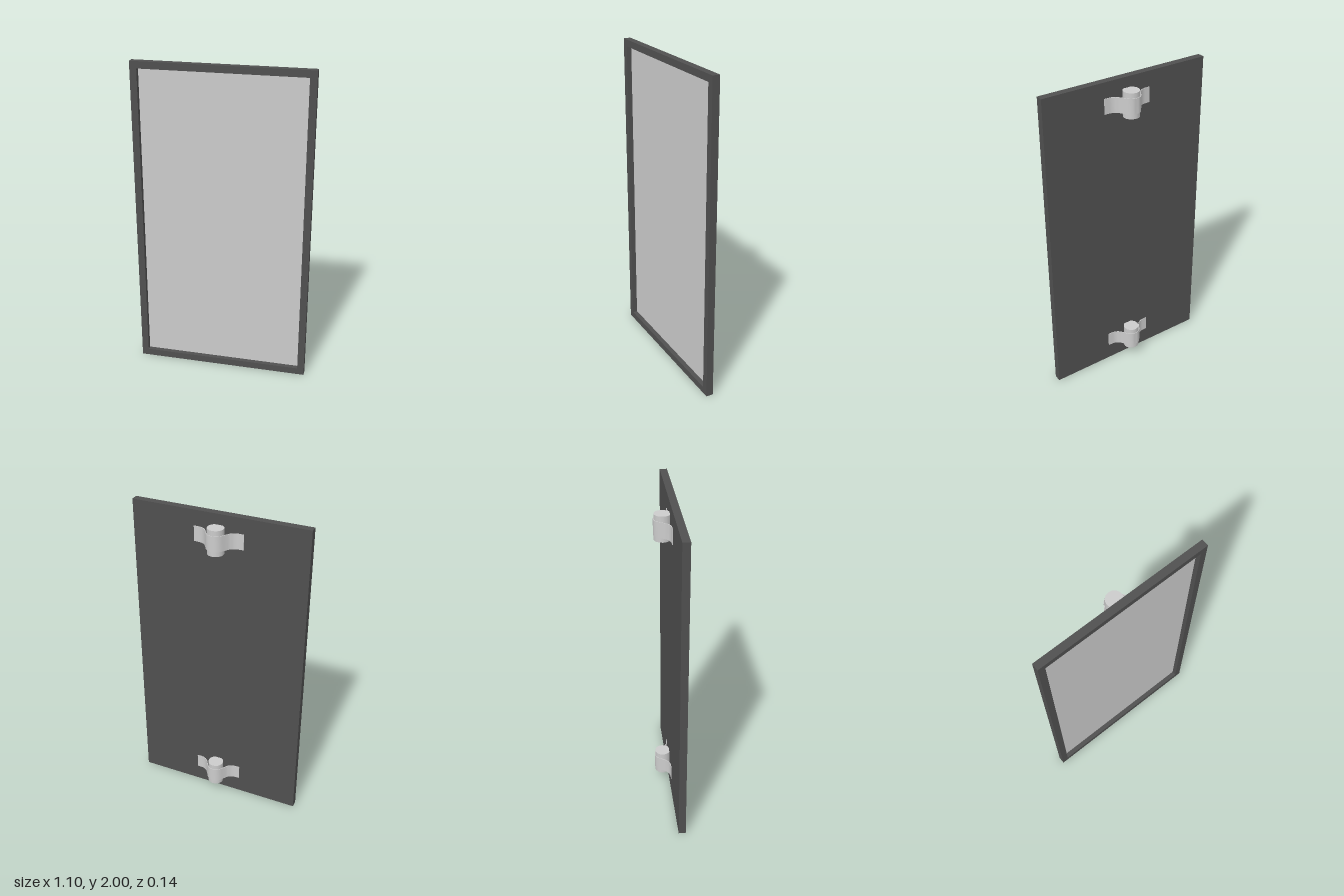
import * as THREE from 'three';
import { toCreasedNormals } from 'three/addons/utils/BufferGeometryUtils.js';

const W = 1.1, H = 2, BORDER = 0.043;
const BACK = 0.025, FRONT = 0.07, RECESS = 0.03;

const dark = new THREE.MeshStandardMaterial({ color: 0x505050 });
const grey = new THREE.MeshStandardMaterial({ color: 0xcccccc });

function part(name, geometry, material) {
  const mesh = new THREE.Mesh(geometry, material);
  mesh.name = name;
  return mesh;
}

function rectangle(target, w, h) {
  target.moveTo(-w / 2, -h / 2);
  target.lineTo(w / 2, -h / 2);
  target.lineTo(w / 2, h / 2);
  target.lineTo(-w / 2, h / 2);
  target.closePath();
  return target;
}

// Thin strap bent over the pin, with flat feet against the back board
function strapGeometry(height) {
  const half = [[0.155, 0.022], [0.13, 0.021], [0.108, 0.018], [0.083, 0.004],
    [0.062, -0.024], [0.045, -0.051], [0.024, -0.067]];
  const points = [
    ...half.map(([x, z]) => new THREE.Vector2(-x, z)),
    new THREE.Vector2(0, -0.071),
    ...half.map(([x, z]) => new THREE.Vector2(x, z)).reverse(),
  ];
  const curve = new THREE.SplineCurve(points);
  const outer = [], inner = [];
  for (let i = 0; i <= 36; i++) {
    const p = curve.getPoint(i / 36), t = curve.getTangent(i / 36);
    outer.push(p);
    inner.push(new THREE.Vector2(p.x - t.y * 0.004, p.y + t.x * 0.004));
  }
  const geometry = new THREE.ExtrudeGeometry(new THREE.Shape([...outer, ...inner.reverse()]),
    { depth: height, bevelEnabled: false });
  geometry.rotateX(Math.PI / 2).translate(0, height / 2, 0);
  return toCreasedNormals(geometry, 0.6);
}

// Pin held by a strap
function createHinge(name, y) {
  const hinge = new THREE.Group();
  hinge.name = name;
  const pin = part('hingePin', new THREE.CylinderGeometry(0.05, 0.05, 0.157, 16), grey);
  pin.position.z = -0.018;
  hinge.add(pin, part('hingeStrap', strapGeometry(0.095), grey));
  hinge.position.y = y;
  return hinge;
}

export function createModel() {
  const model = new THREE.Group();
  model.name = 'framedPanel';

  // Border frame with a rectangular opening
  const outline = rectangle(new THREE.Shape(), W, H);
  outline.holes.push(rectangle(new THREE.Path(), W - 2 * BORDER, H - 2 * BORDER));
  const frame = part('frame', new THREE.ExtrudeGeometry(outline,
    { depth: FRONT - BACK, bevelEnabled: false }), dark);
  frame.position.set(0, H / 2, BACK);

  // Back board closing the frame
  const board = part('backBoard',
    new THREE.BoxGeometry(W - 2 * BORDER, H - 2 * BORDER, 0.01), dark);
  board.position.set(0, H / 2, BACK + 0.005);

  // Recessed front pane
  const pane = part('pane',
    new THREE.PlaneGeometry(W - 2 * BORDER, H - 2 * BORDER), grey);
  pane.position.set(0, H / 2, FRONT - RECESS);

  model.add(frame, board, pane, createHinge('upperHinge', 1.856), createHinge('lowerHinge', 0.157));
  return model;
}
